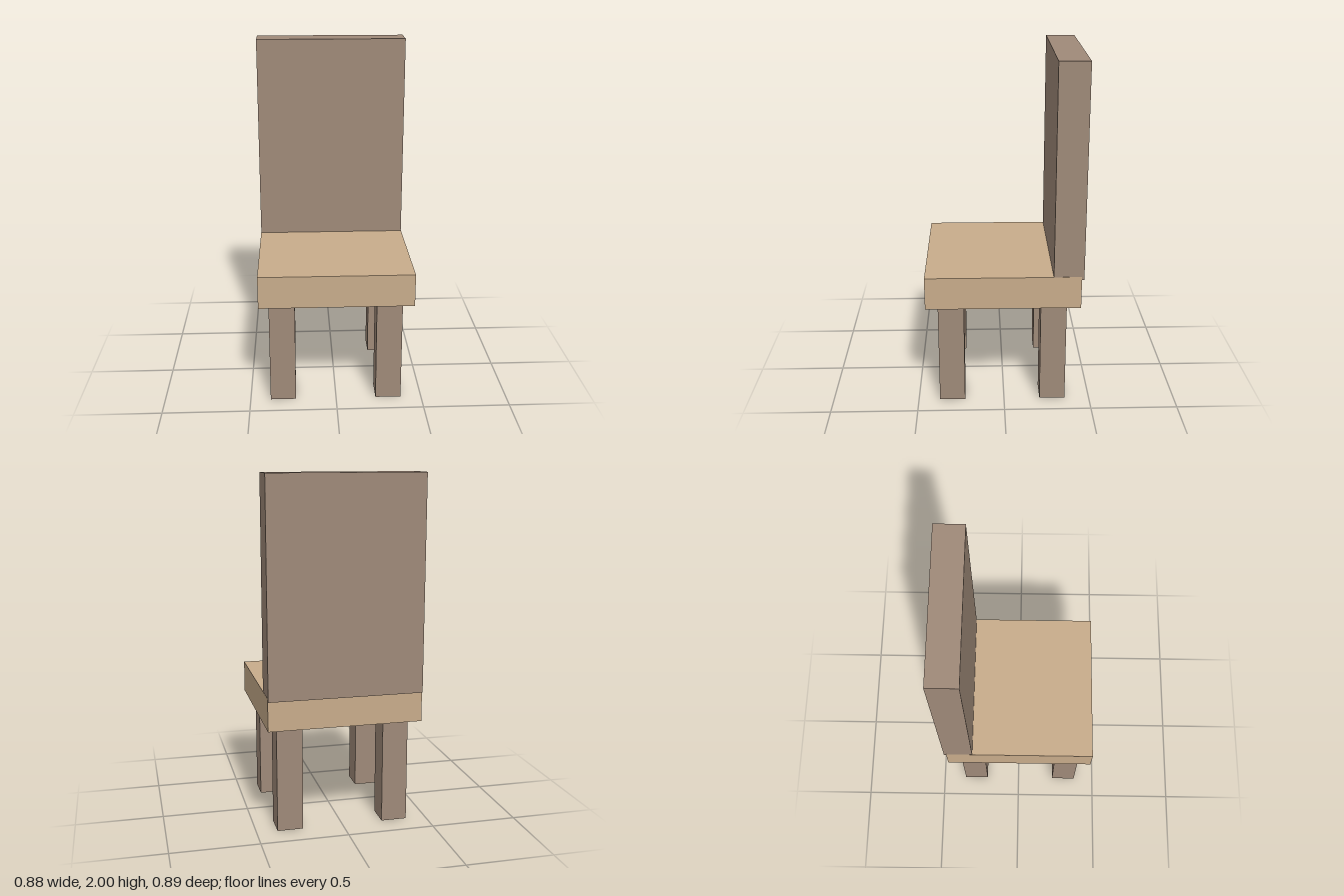
import * as THREE from 'three';

export function createModel() {
  const chair = new THREE.Group();
  chair.name = 'chair';
  const darkWood = new THREE.MeshStandardMaterial({ color: 0x9f8a79 });
  const lightWood = new THREE.MeshStandardMaterial({ color: 0xc8ac8b });

  // Box given by its extents along each axis
  function addBox(name, material, [x0, x1], [y0, y1], [z0, z1]) {
    const mesh = new THREE.Mesh(new THREE.BoxGeometry(x1 - x0, y1 - y0, z1 - z0), material);
    mesh.position.set((x0 + x1) / 2, (y0 + y1) / 2, (z0 + z1) / 2);
    mesh.name = name;
    chair.add(mesh);
  }

  // Seat slab
  addBox('seat', lightWood, [-0.439, 0.439], [0.615, 0.803], [-0.431, 0.444]);

  // Backrest, sunk slightly into the seat and overhanging its rear edge
  addBox('backrest', darkWood, [-0.438, 0.438], [0.785, 2], [-0.444, -0.275]);

  // Four square legs
  const legHalf = 0.074;
  for (const [end, z] of [['front', 0.302], ['back', -0.283]]) {
    for (const [side, x] of [['Left', 0.306], ['Right', -0.309]]) {
      addBox(`${end}${side}Leg`, darkWood,
        [x - legHalf, x + legHalf], [0, 0.62], [z - legHalf, z + legHalf]);
    }
  }
  return chair;
}
